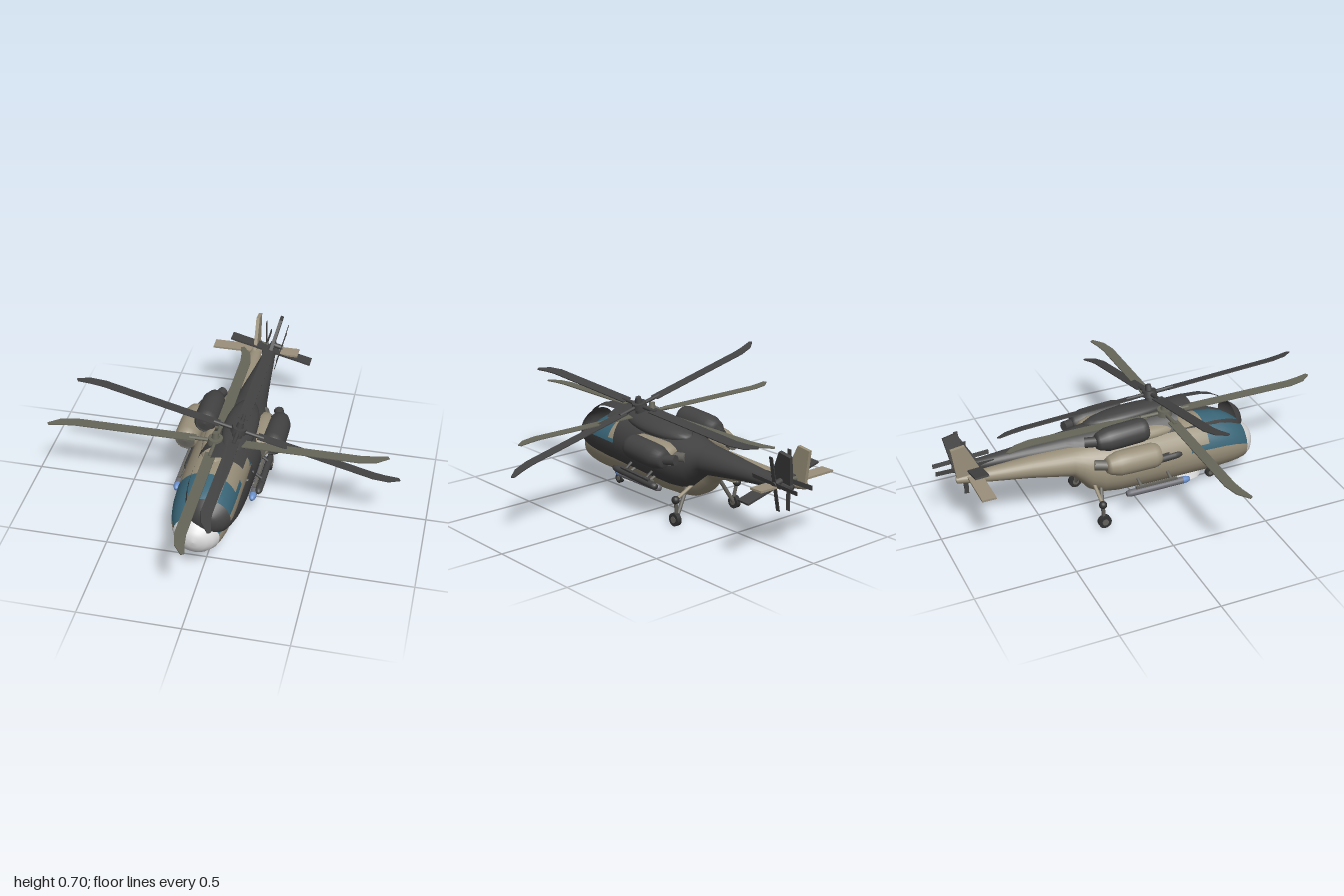
import * as THREE from 'three';

const mat = (name, color, side = THREE.FrontSide) => {
  const m = new THREE.MeshStandardMaterial({ color, side });
  m.name = name;
  return m;
};

function add(parent, name, geo, material, x = 0, y = 0, z = 0) {
  const m = new THREE.Mesh(geo, material);
  m.name = name;
  m.position.set(x, y, z);
  parent.add(m);
  return m;
}

// Round bar between two points
function bar(parent, name, a, b, r, material) {
  const p = new THREE.Vector3(...a), q = new THREE.Vector3(...b);
  const m = add(parent, name, new THREE.CylinderGeometry(r, r, p.distanceTo(q), 10), material);
  m.position.copy(p).add(q).multiplyScalar(0.5);
  m.quaternion.setFromUnitVectors(new THREE.Vector3(0, 1, 0), q.sub(p).normalize());
  return m;
}

// Turned body along z from [radius, z] points running tail to nose
const turned = (pts, n = 24) =>
  new THREE.LatheGeometry(pts.map(p => new THREE.Vector2(...p)), n).rotateX(Math.PI / 2);

// Flat plate from an outline
function plate(pts, depth) {
  const s = new THREE.Shape(pts.map(p => new THREE.Vector2(...p)));
  return new THREE.ExtrudeGeometry(s, { depth, bevelEnabled: false }).translate(0, 0, -depth / 2);
}

// Fuselage stations: z, half width, bottom, top
const stations = [
  [0.645, 0, 0.205, 0.205], [0.641, 0.03, 0.172, 0.235], [0.63, 0.06, 0.145, 0.255], [0.61, 0.088, 0.12, 0.275],
  [0.58, 0.112, 0.104, 0.3], [0.54, 0.128, 0.095, 0.335], [0.5, 0.138, 0.09, 0.36], [0.44, 0.146, 0.087, 0.38],
  [0.35, 0.15, 0.085, 0.39], [0.25, 0.15, 0.085, 0.392], [0.05, 0.15, 0.085, 0.39], [-0.12, 0.147, 0.09, 0.387],
  [-0.2, 0.135, 0.1, 0.382], [-0.26, 0.115, 0.13, 0.376], [-0.3, 0.098, 0.18, 0.372], [-0.34, 0.083, 0.22, 0.37],
  [-0.55, 0.058, 0.262, 0.365], [-0.8, 0.032, 0.3, 0.358], [-0.91, 0.016, 0.32, 0.352], [-0.915, 0, 0.336, 0.336],
];

function fuselage(open) {
  const n = 32, pos = [], faces = [[], [], []];
  for (const [z, w, b, t] of stations)
    for (let j = 0; j < n; j++) {
      const a = (j / n) * Math.PI * 2;
      pos.push(w * Math.cos(a), (b + t) / 2 + ((t - b) / 2) * Math.sin(a), z);
    }
  // Region of a face: 0 skin, 1 nose, 2 canopy glass
  const region = (i, j) => {
    const z = (stations[i][0] + stations[i + 1][0]) / 2, k = Math.min(j, 15 - j);
    if (z > 0.58) return 1;
    if (z < 0.25 || k < 1) return 0;
    if (z < 0.35) return k < (open ? 5 : 2) ? 2 : 0;
    return open && k > 6 ? 0 : 2;
  };
  for (let i = 0; i < stations.length - 1; i++)
    for (let j = 0; j < n; j++) {
      const a = i * n + j, b = i * n + ((j + 1) % n), c = a + n, d = b + n;
      faces[region(i, j)].push(a, c, b, b, c, d);
    }
  if (open) faces[2] = [];
  const g = new THREE.BufferGeometry();
  g.setAttribute('position', new THREE.Float32BufferAttribute(pos, 3));
  g.setIndex(faces.flat());
  let start = 0;
  faces.forEach((f, k) => { g.addGroup(start, f.length, k); start += f.length; });
  g.computeVertexNormals();
  return g;
}

// One aircraft; the open version has no canopy glass and no undercarriage
function aircraft(name, c, open) {
  const h = new THREE.Group();
  h.name = name;
  add(h, 'fuselage', fuselage(open), [c.skin, c.nose, c.glass]);
  add(h, 'rotorHousing', new THREE.SphereGeometry(1, 24, 12).scale(0.085, 0.045, 0.25), c.skin, 0, 0.375, 0.03);
  add(h, 'mast', new THREE.CylinderGeometry(0.022, 0.03, 0.09, 16), c.skin, 0, 0.415, 0.165);

  // Main rotor with swept tips
  const rotor = new THREE.Group();
  rotor.name = 'mainRotor';
  rotor.position.set(0, 0.447, 0.165);
  h.add(rotor);
  add(rotor, 'hub', new THREE.CylinderGeometry(0.036, 0.04, 0.03, 16), c.hub, 0, 0.003, 0);
  add(rotor, 'hubCap', new THREE.CylinderGeometry(0.014, 0.02, 0.035, 12), c.hub, 0, 0.03, 0);
  const blade = plate([[0.1, -0.027], [0.7, -0.027], [0.78, -0.008], [0.835, 0.035],
    [0.825, 0.05], [0.76, 0.035], [0.7, 0.027], [0.1, 0.027]], 0.005).rotateX(-Math.PI / 2);
  for (let i = 0; i < 4; i++) {
    const arm = new THREE.Group();
    arm.name = 'bladeArm';
    arm.rotation.y = (i * Math.PI) / 2;
    add(arm, 'blade', blade, c.blade);
    bar(arm, 'bladeGrip', [0.02, 0, 0], [0.13, 0, 0], 0.01, c.hub);
    rotor.add(arm);
  }

  // Tail surfaces and tail rotor
  add(h, 'tailFin', plate([[0.77, 0.33], [0.86, 0.515], [0.93, 0.505], [0.905, 0.32]], 0.018).rotateY(Math.PI / 2), c.skin);
  add(h, 'stabiliser', new THREE.BoxGeometry(0.46, 0.01, 0.07), c.skin, 0, 0.345, -0.825);
  const tail = new THREE.Group();
  tail.name = 'tailRotor';
  tail.position.set(0.05, 0.36, -0.85);
  h.add(tail);
  bar(tail, 'tailShaft', [-0.05, 0, 0], [0.008, 0, 0], 0.014, c.hub);
  for (let i = 0; i < 4; i++) {
    const b = add(tail, 'tailBlade', new THREE.BoxGeometry(0.004, 0.135, 0.022).translate(0, 0.0775, 0), c.tailBlade);
    b.rotation.x = (i * Math.PI) / 2;
  }

  for (const s of [-1, 1]) {
    // Engine pod with intake and exhaust
    const pod = new THREE.Group();
    pod.name = 'engine';
    pod.position.set(s * 0.178, 0.337, 0);
    h.add(pod);
    add(pod, 'engineCowl', turned([[0, -0.22], [0.035, -0.22], [0.045, -0.205], [0.06, -0.16],
      [0.062, -0.1], [0.062, 0.02], [0.055, 0.045], [0.046, 0.055]]), c.skin);
    add(pod, 'intake', turned([[0.046, 0.055], [0.038, 0.052], [0, 0.06]]), c.metal);
    bar(pod, 'exhaust', [0, 0, -0.2], [-s * 0.025, 0.005, -0.27], 0.026, c.metal);

    // Stores on side pylon
    const store = new THREE.Group();
    store.name = 'sideStore';
    store.position.set(s * 0.19, 0.157, 0);
    h.add(store);
    add(store, 'missile', turned([[0, -0.12], [0.014, -0.12], [0.018, -0.1], [0.018, 0.18]], 14), c.store);
    add(store, 'missileTip', turned([[0.018, 0.18], [0.017, 0.2], [0.01, 0.217], [0, 0.22]], 14), c.tip);
    add(store, 'missileRail', new THREE.BoxGeometry(0.014, 0.014, 0.22), c.metal, 0, 0.02, 0.04);
    for (const z of [-0.04, 0.12])
      bar(store, 'pylonStrut', [0, 0.018, z], [-s * 0.065, 0.045, z], 0.008, c.metal);
    add(h, 'cabinWindow', new THREE.BoxGeometry(0.008, 0.035, 0.08), c.glass, s * 0.147, 0.262, 0.03);
  }
  if (open) return h;

  // Undercarriage
  const wheel = (r, x, y, z, w) => {
    add(h, 'tyre', new THREE.CylinderGeometry(r, r, w, 20).rotateZ(Math.PI / 2), c.tyre, x, y, z);
    add(h, 'wheelHub', new THREE.CylinderGeometry(r * 0.5, r * 0.5, w + 0.006, 14).rotateZ(Math.PI / 2), c.metal, x, y, z);
  };
  wheel(0.025, 0, 0.025, 0.43, 0.02);
  bar(h, 'noseLeg', [0, 0.03, 0.43], [0, 0.11, 0.43], 0.009, c.metal);
  for (const s of [-1, 1]) {
    wheel(0.033, s * 0.194, 0.033, -0.24, 0.024);
    bar(h, 'mainLeg', [s * 0.186, 0.035, -0.24], [s * 0.105, 0.17, -0.22], 0.01, c.metal);
    bar(h, 'shockStrut', [s * 0.186, 0.045, -0.24], [s * 0.2, 0.14, -0.25], 0.009, c.metal);
    bar(h, 'crossStrut', [s * 0.2, 0.135, -0.25], [s * 0.09, 0.19, -0.25], 0.009, c.skin);
    add(h, 'strutJoint', new THREE.SphereGeometry(0.02, 14, 10), c.tyre, s * 0.2, 0.135, -0.25);
  }
  // Belly radar dish
  add(h, 'bellyDish', new THREE.CylinderGeometry(0.075, 0.083, 0.022, 28), c.nose, 0, 0.08, 0.28);
  add(h, 'bellyDishBase', new THREE.CylinderGeometry(0.077, 0.077, 0.004, 28), c.metal, 0, 0.068, 0.28);
  return h;
}

export function createModel() {
  const model = new THREE.Group();
  model.name = 'helicopter';
  const tan = mat('tan', 0x9a907b, THREE.DoubleSide);
  const olive = mat('olive', 0x66665a);
  const dark = mat('charcoal', 0x434343, THREE.DoubleSide);
  const light = mat('lightGrey', 0xdcdcdc);
  const teal = mat('tealGlass', 0x3a6678);
  const metal = mat('metalGrey', 0x66645e);
  const store = mat('storeGrey', 0x6e6e76);
  const blue = mat('blueTip', 0x6a90cc);
  const tyre = mat('tyreBlack', 0x333333);

  const intact = aircraft('intactAircraft', {
    skin: tan, nose: light, glass: teal, blade: olive, hub: olive,
    tailBlade: dark, metal, store, tip: blue, tyre,
  }, false);
  intact.position.x = -0.03;
  model.add(intact);

  // Charred shell, rolled and pitched about its rotor hub
  const shell = aircraft('charredShell', {
    skin: dark, nose: dark, glass: teal, blade: dark, hub: dark,
    tailBlade: dark, metal: dark, store: dark, tip: dark, tyre: dark,
  }, true);
  shell.position.set(0, -0.447, -0.165);
  const tilt = new THREE.Group();
  tilt.name = 'charredShellTilt';
  tilt.add(shell);
  tilt.scale.setScalar(0.97);
  tilt.rotation.set(-0.055, 0, -0.242);
  tilt.position.set(0.077, 0.505, 0.133);
  model.add(tilt);
  return model;
}
